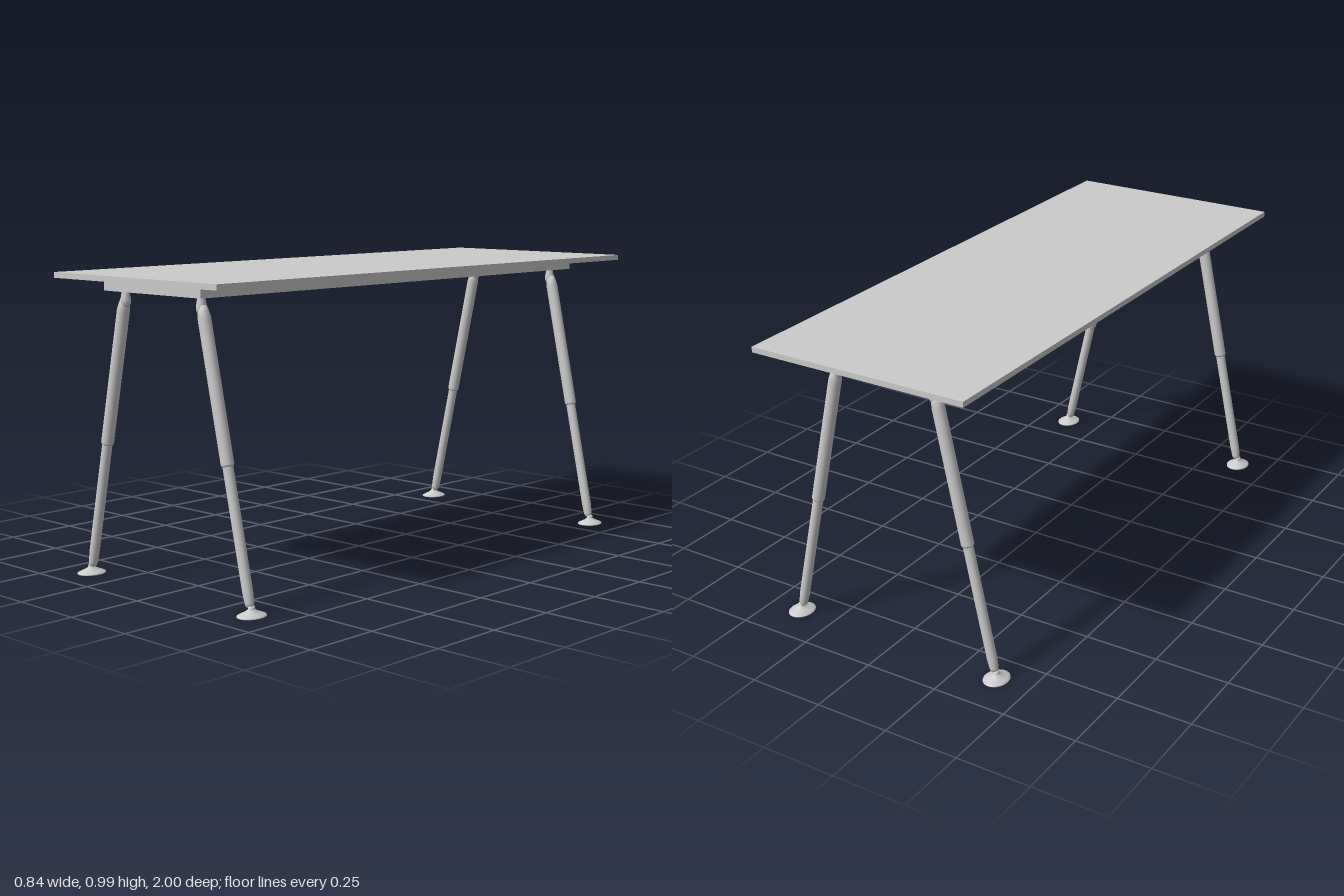
import * as THREE from 'three';

const material = new THREE.MeshStandardMaterial({ color: 0xcccccc });

function box(name, x0, x1, y0, y1, z0, z1) {
  const mesh = new THREE.Mesh(new THREE.BoxGeometry(x1 - x0, y1 - y0, z1 - z0), material);
  mesh.position.set((x0 + x1) / 2, (y0 + y1) / 2, (z0 + z1) / 2);
  mesh.name = name;
  return mesh;
}

function lathe(name, points, segments = 24) {
  const profile = points.map(([r, y]) => new THREE.Vector2(r, y));
  const mesh = new THREE.Mesh(new THREE.LatheGeometry(profile, segments), material);
  mesh.name = name;
  return mesh;
}

// One splayed telescopic leg, side = +1 or -1 along x
function createLeg(side, z) {
  const leg = new THREE.Group();
  leg.name = 'leg';

  const bottom = new THREE.Vector3(side * 0.376, 0.024, z);
  const top = new THREE.Vector3(side * 0.18, 0.92, z);
  const axis = top.clone().sub(bottom);
  const length = axis.length();
  const tubes = new THREE.Group();
  tubes.name = 'legTubes';
  tubes.position.copy(bottom);
  tubes.quaternion.setFromUnitVectors(new THREE.Vector3(0, 1, 0), axis.normalize());

  // Thin lower tube with a rounded end
  tubes.add(lathe('lowerTube', [
    [0, 0], [0.008, 0.001], [0.0125, 0.006], [0.0145, 0.014], [0.0165, 0.05], [0.0165, 0.44],
  ]));
  // Thicker upper tube with a tapered shoulder
  tubes.add(lathe('upperTube', [
    [0.0165, 0.425], [0.0195, 0.428], [0.0205, 0.432], [0.0205, length - 0.045],
    [0.0175, length - 0.025], [0.013, length - 0.008], [0, length],
  ]));
  leg.add(tubes);

  // Joint under the frame
  const joint = lathe('topJoint', [
    [0, 0.885], [0.012, 0.889], [0.0165, 0.9], [0.0165, 0.912], [0.013, 0.93], [0.012, 0.941],
  ]);
  joint.position.set(side * 0.177, 0, z);
  leg.add(joint);

  // Oval foot with a ball neck
  const foot = lathe('foot', [
    [0, 0], [0.04, 0], [0.04, 0.003], [0.033, 0.007], [0.021, 0.013],
    [0.012, 0.019], [0.009, 0.024], [0.009, 0.03], [0, 0.034],
  ], 32);
  foot.position.set(side * 0.382, 0, z);
  foot.scale.z = 1.25;
  leg.add(foot);
  return leg;
}

export function createModel() {
  const table = new THREE.Group();
  table.name = 'table';

  table.add(box('tabletop', -0.378, 0.382, 0.975, 0.993, -1, 1));

  // Rectangular frame: two long rails and two wide end bars
  table.add(box('leftRail', 0.185, 0.228, 0.939, 0.971, -0.81, 0.825));
  table.add(box('rightRail', -0.222, -0.179, 0.939, 0.971, -0.81, 0.825));
  table.add(box('frontBar', -0.222, 0.228, 0.939, 0.971, 0.825, 0.925));
  table.add(box('backBar', -0.222, 0.228, 0.939, 0.971, -0.909, -0.81));

  for (const z of [0.877, -0.853]) {
    for (const side of [1, -1]) {
      table.add(createLeg(side, z));
      // Small spacer between frame and top
      const x = side * 0.18;
      table.add(box('spacer', x - 0.015, x + 0.015, 0.97, 0.976, z - 0.015, z + 0.015));
    }
  }
  return table;
}
